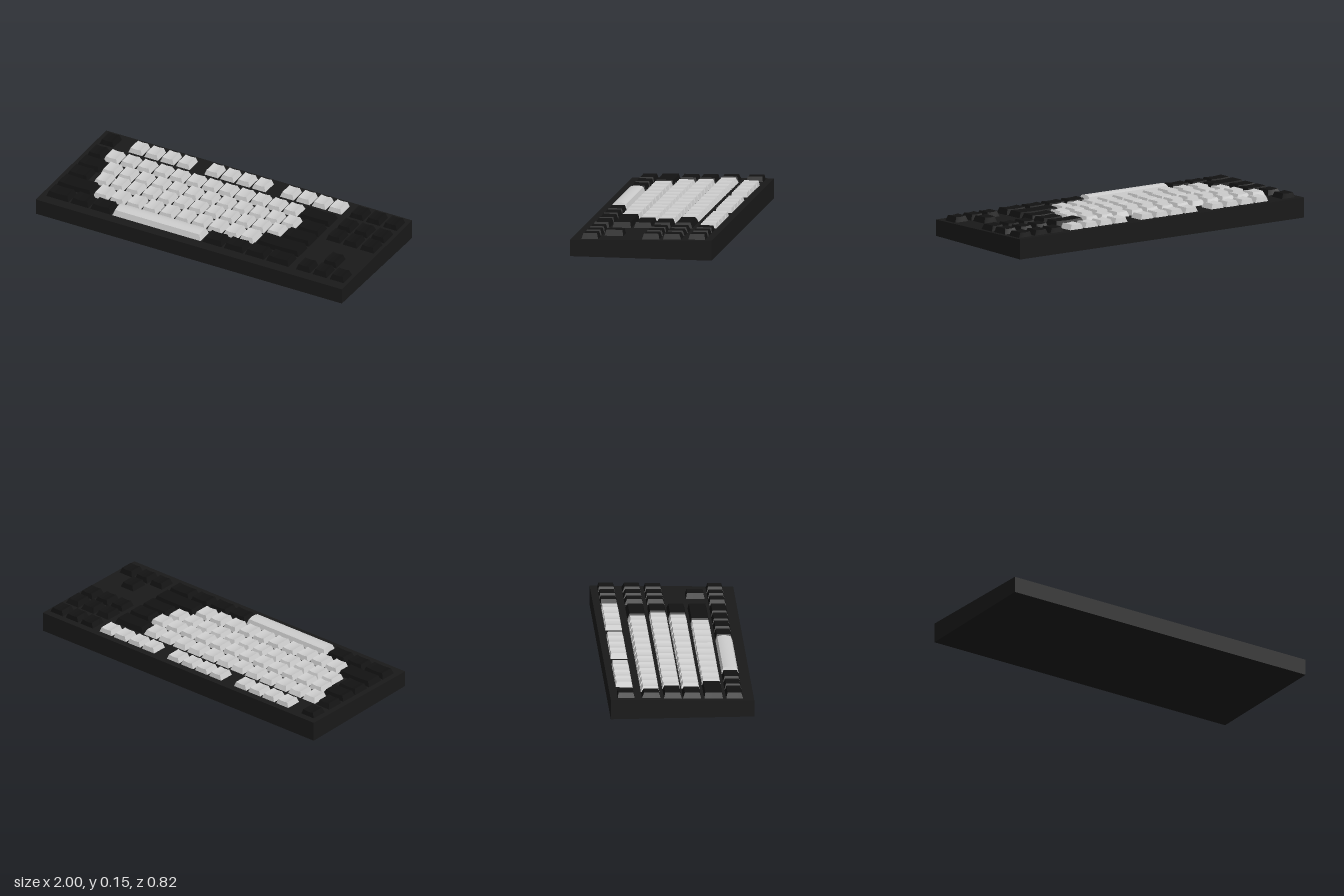
import * as THREE from 'three';

const U = 0.1064;      // width of one key unit
const X0 = -0.973;     // left edge of the main key block
const GAP = 0.011;
const deckY = (z) => 0.106 - 0.027 * z;   // sloping top of the case

const caseMat = new THREE.MeshStandardMaterial({ color: 0x191919 });
const darkMat = new THREE.MeshStandardMaterial({ color: 0x121212 });
const lightMat = new THREE.MeshStandardMaterial({ color: 0xcccccc });

// Rows from back to front: base z range, top z range, top height,
// and runs of keys as [start unit, end unit, count, light]
const rows = [
  { name: 'functionRow', base: [-0.369, -0.27], top: [-0.363, -0.279], y: 0.145,
    runs: [[0, 1, 1, 0], [1.77, 5.67, 4, 1], [6.43, 10.33, 4, 1], [11.08, 15, 4, 1]] },
  { name: 'numberRow', base: [-0.232, -0.123], top: [-0.216, -0.132], y: 0.142,
    runs: [[0, 1, 1, 0], [1, 13, 12, 1], [13, 15, 1, 0]] },
  { name: 'upperLetterRow', base: [-0.105, -0.001], top: [-0.096, -0.012], y: 0.139,
    runs: [[0, 1.5, 1, 0], [1.5, 13.5, 12, 1], [13.5, 15, 1, 0]] },
  { name: 'homeRow', base: [0.003, 0.11], top: [0.016, 0.1], y: 0.136,
    runs: [[0, 1.38, 1, 0], [1.63, 13.18, 12, 1], [13.18, 15, 1, 0]] },
  { name: 'lowerLetterRow', base: [0.125, 0.235], top: [0.133, 0.226], y: 0.134,
    runs: [[0, 2.25, 1, 0], [2.25, 12.25, 10, 1], [12.25, 15, 1, 0]] },
  { name: 'bottomRow', base: [0.25, 0.35], top: [0.26, 0.338], y: 0.131,
    runs: [[0, 1.48, 1, 0], [1.48, 2.7, 1, 0], [2.7, 4.05, 1, 0], [4.05, 9.6, 1, 2],
      [9.6, 10.9, 1, 0], [10.9, 12.2, 1, 0], [12.2, 13.5, 1, 0], [13.5, 15, 1, 0]] },
];

// Tapered keycap: top dished across x, or domed across z for the space bar
function keyGeometry(x1, x2, row, domed) {
  const g = new THREE.BoxGeometry(1, 1, 1, 8, 1, 8);
  const p = g.attributes.position;
  const lerp = THREE.MathUtils.lerp;
  for (let i = 0; i < p.count; i++) {
    const u = p.getX(i) + 0.5;
    const v = p.getZ(i) + 0.5;
    if (p.getY(i) > 0) {
      const z = lerp(row.top[0], row.top[1], v);
      const inset = 0.014;
      const curve = domed ? 0.008 * (1 - (2 * v - 1) ** 2) : -0.004 * (1 - (2 * u - 1) ** 2);
      const tilt = -0.02 * (z - (row.top[0] + row.top[1]) / 2);
      p.setXYZ(i, lerp(x1 + inset, x2 - inset, u), row.y + tilt + curve, z);
    } else {
      const z = lerp(row.base[0], row.base[1], v);
      p.setXYZ(i, lerp(x1, x2, u), deckY(z) - 0.004, z);
    }
  }
  g.computeVertexNormals();
  return g;
}

function addKey(group, name, x1, x2, row, kind) {
  const key = new THREE.Mesh(keyGeometry(x1, x2, row, kind === 2), kind ? lightMat : darkMat);
  key.name = name;
  group.add(key);
}

export function createModel() {
  const model = new THREE.Group();
  model.name = 'keyboard';

  // Wedge-shaped case, extruded across x from its side profile
  const profile = new THREE.Shape([
    new THREE.Vector2(-0.41, 0),
    new THREE.Vector2(0.41, 0),
    new THREE.Vector2(0.41, deckY(-0.41)),
    new THREE.Vector2(-0.41, deckY(0.41)),
  ]);
  const caseGeo = new THREE.ExtrudeGeometry(profile, { depth: 2, bevelEnabled: false });
  caseGeo.translate(0, 0, -1).rotateY(Math.PI / 2);
  const body = new THREE.Mesh(caseGeo, caseMat);
  body.name = 'case';
  model.add(body);

  // Main key block
  for (const row of rows) {
    const group = new THREE.Group();
    group.name = row.name;
    for (const [start, end, count, kind] of row.runs) {
      const step = ((end - start) * U) / count;
      for (let i = 0; i < count; i++) {
        const x = X0 + start * U + i * step;
        const name = kind === 2 ? 'spaceBar' : kind ? 'lightKey' : 'darkKey';
        addKey(group, name, x + GAP / 2, x + step - GAP / 2, row, kind);
      }
    }
    model.add(group);
  }

  // Navigation and arrow keys on the model's left
  const nav = new THREE.Group();
  nav.name = 'navigationKeys';
  const columns = [0.711, 0.82, 0.932];
  rows.forEach((row, r) => {
    if (r === 3) return;
    columns.forEach((x, c) => {
      if (r === 4 && c !== 1) return;
      addKey(nav, r > 3 ? 'arrowKey' : 'navigationKey', x - 0.047, x + 0.047, row, 0);
    });
  });
  model.add(nav);

  return model;
}
